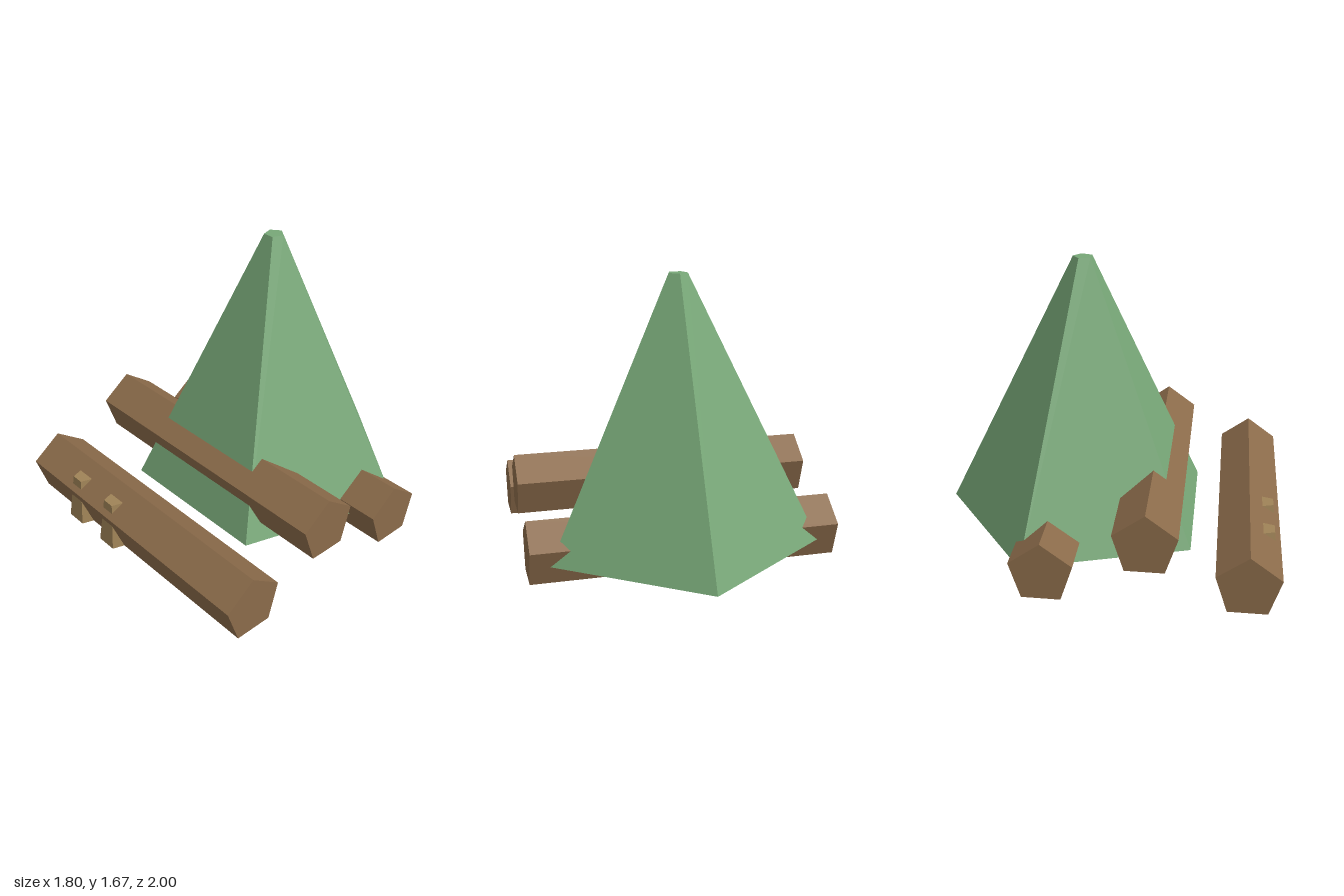
import * as THREE from 'three';

const material = (color) => new THREE.MeshStandardMaterial({ color, flatShading: true });

export function createModel() {
  const group = new THREE.Group();
  const green = material(0x78a878);
  const brown = material(0x8b6b4a);
  const tan = material(0x9f8357);

  const add = (name, geometry, mat, x, y, z) => {
    const mesh = new THREE.Mesh(geometry, mat);
    mesh.name = name;
    mesh.position.set(x, y, z);
    group.add(mesh);
  };

  // five-sided tent with a small flat tip, one corner pointing back
  const tent = new THREE.CylinderGeometry(0.058, 0.83, 1.56, 5, 1, false, Math.PI);
  add('tent', tent, green, 0, 0.89, -0.17);

  // five-sided logs lying along x, one edge up
  const log = new THREE.CylinderGeometry(0.185, 0.185, 1.8, 5, 1, false, -Math.PI / 2);
  log.rotateZ(-Math.PI / 2);
  add('frontLog', log, brown, 0, 0.15, 0.825);
  add('middleLog', log, brown, 0, 0.36, 0.275);
  add('backLog', log, brown, 0, 0.15, -0.285);

  // tapered stubs set into the front log
  const stub = new THREE.CylinderGeometry(0.064, 0.108, 0.28, 5, 1, false, Math.PI);
  add('outerStub', stub, tan, -0.485, 0.14, 0.913);
  add('innerStub', stub, tan, -0.175, 0.14, 0.913);

  return group;
}
